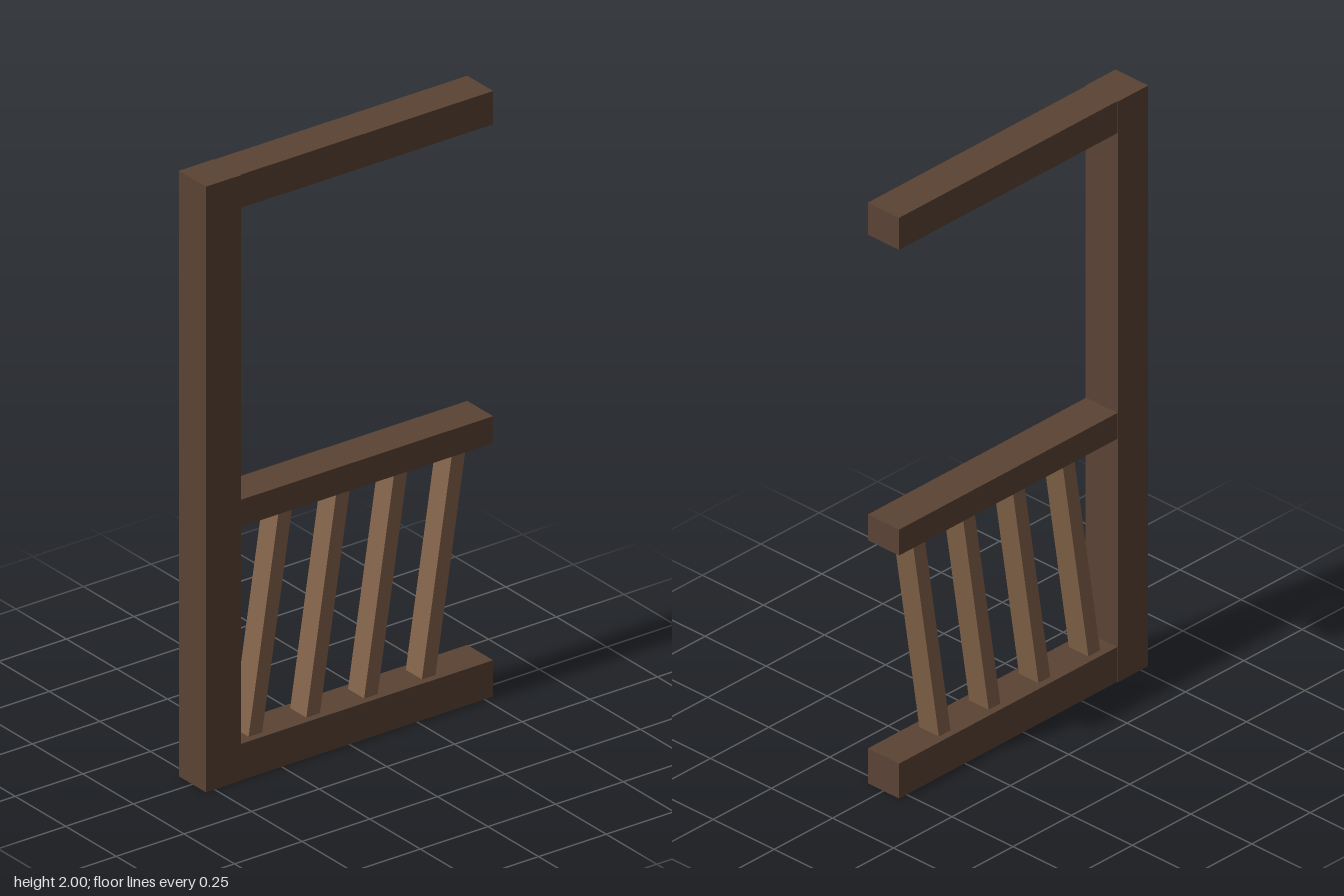
import * as THREE from 'three';

export function createModel() {
  const group = new THREE.Group();
  const darkWood = new THREE.MeshStandardMaterial({ color: 0x5a4334 });
  darkWood.name = 'dark wood';
  const lightWood = new THREE.MeshStandardMaterial({ color: 0x85644a });
  lightWood.name = 'light wood';

  // Box given by its x and y limits, centred on z = 0
  function beam(name, x0, x1, y0, y1, depth, material) {
    const mesh = new THREE.Mesh(new THREE.BoxGeometry(x1 - x0, y1 - y0, depth), material);
    mesh.position.set((x0 + x1) / 2, (y0 + y1) / 2, 0);
    mesh.name = name;
    group.add(mesh);
    return mesh;
  }

  // Frame: one post with three rails running out from it
  const postEdge = -0.403, railEnd = 0.532;
  beam('post', -0.532, postEdge, 0, 2, 0.134, darkWood);
  beam('bottomRail', postEdge, railEnd, 0, 0.12, 0.128, darkWood);
  beam('middleRail', postEdge, railEnd, 0.837, 0.926, 0.128, darkWood);
  beam('topRail', postEdge, railEnd, 1.89, 2, 0.128, darkWood);

  // Slanted balusters, sheared so their ends sit flat on the rails
  const y0 = 0.12, y1 = 0.837, lean = 0.112;
  const shear = new THREE.Matrix4().makeShear(0, 0, lean / (y1 - y0), 0, 0, 0);
  for (let i = 0; i < 4; i++) {
    const x = -0.273 + i * 0.2135;
    const baluster = beam('baluster' + (i + 1), x - 0.025, x + 0.025, y0, y1, 0.08, lightWood);
    baluster.geometry.applyMatrix4(shear);
    baluster.geometry = baluster.geometry.toNonIndexed();
    baluster.geometry.computeVertexNormals();
  }
  return group;
}
